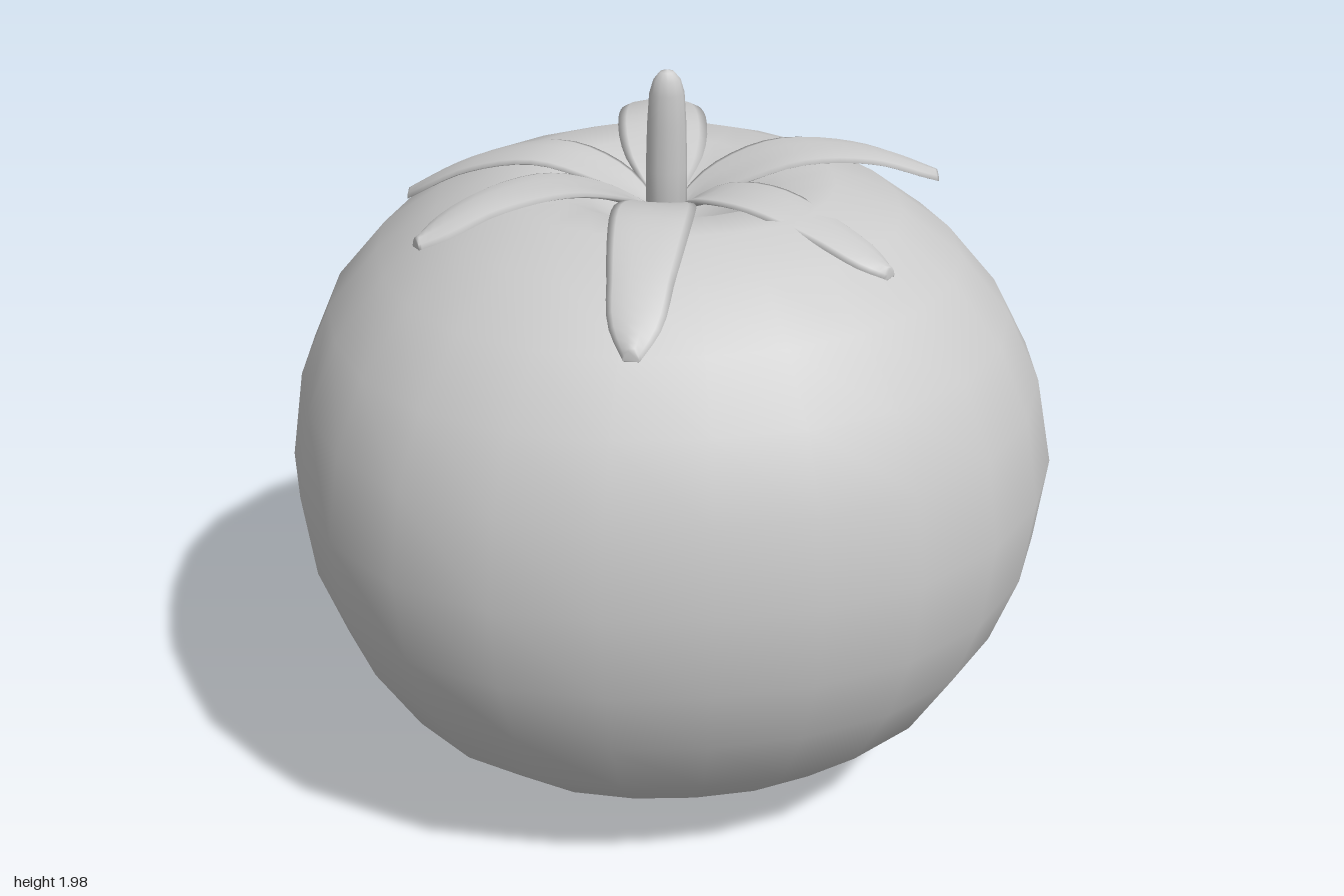
import * as THREE from 'three';
import { mergeVertices } from 'three/addons/utils/BufferGeometryUtils.js';

const grey = new THREE.MeshStandardMaterial({ color: 0xcccccc });
const CENTER = { x: -0.02, z: 0.04 };

function addMesh(group, name, geometry) {
  const mesh = new THREE.Mesh(geometry, grey);
  mesh.name = name;
  group.add(mesh);
  return mesh;
}

const toPoints = (pairs) => pairs.map(([x, y]) => new THREE.Vector2(x, y));

// Plump, slightly lopsided fruit with a dimple at the top
function fruitGeometry() {
  const profile = toPoints([
    [0, 0.005], [0.2, 0.015], [0.4, 0.08], [0.6, 0.18], [0.78, 0.335], [0.9, 0.53],
    [0.97, 0.72], [1, 0.95], [0.965, 1.18], [0.885, 1.365], [0.755, 1.52], [0.6, 1.63],
    [0.43, 1.695], [0.3, 1.695], [0.2, 1.645], [0.1, 1.58], [0, 1.54],
  ]);
  let g = new THREE.LatheGeometry(profile, 24);
  const p = g.attributes.position;
  for (let i = 0; i < p.count; i++) {
    const x = p.getX(i), y = p.getY(i), z = p.getZ(i);
    const r = Math.hypot(x, z) || 1, c = x / r, s = z / r;
    // Fuller at the front corners, leaner at the back left and sloping on the upper left
    const corner = (2 * c * s) ** 2 * (0.014 + 0.034 * s - 0.02 * c);
    const slope = Math.max(0, 0.9 * c - 0.43 * s) ** 4 * THREE.MathUtils.smoothstep(y, 0.9, 1.5) * 0.07;
    const k = 1 + corner - slope;
    // Move the dimple off centre
    const shift = y > 1 ? Math.max(0, 1 - r / 0.6) : 0;
    p.setX(i, x * k + CENTER.x * shift);
    p.setZ(i, z * k * 0.95 + CENTER.z * shift);
  }
  g.deleteAttribute('uv');
  g.deleteAttribute('normal');
  g = mergeVertices(g, 1e-4);
  g.computeVertexNormals();
  return g;
}

// Arched, blunt leaf: lens-shaped cross-sections along a curve from the centre to the tip
function leafGeometry({ tip: [tx, ty, tz], peak, shoulder, width }) {
  const dx = tx - CENTER.x, dz = tz - CENTER.z;
  const length = Math.hypot(dx, dz), c = dx / length, s = dz / length;
  const spine = new THREE.SplineCurve(toPoints([
    [0.03, 1.6], [0.2 * length, 1.675], [0.45 * length, peak], [0.74 * length, shoulder], [length, ty],
  ]));
  // Half widths at even steps from base to tip
  const halfWidth = new THREE.SplineCurve(
    [0.02, 0.055, 0.09, 0.108, 0.11, 0.102, 0.088, 0.072, 0.022].map((w, i) => new THREE.Vector2(i, w)),
  );
  const rings = 20, sides = 10, pos = [], index = [];
  for (let i = 0; i <= rings; i++) {
    const t = 1 - (1 - i / rings) ** 1.4;
    const mid = spine.getPoint(t), w = halfWidth.getPoint(t).y * width;
    const fold = THREE.MathUtils.lerp(0.025, -0.015, t); // cupped at the base, drooping at the tip
    for (let j = 0; j < sides; j++) {
      const a = (j / sides) * Math.PI * 2, u = Math.cos(a);
      pos.push(
        CENTER.x + c * mid.x + s * w * u,
        mid.y + 0.012 * Math.sin(a) + fold * u * u,
        CENTER.z + s * mid.x - c * w * u,
      );
      if (i < rings) {
        const k = i * sides, n = (j + 1) % sides;
        index.push(k + j, k + n, k + sides + j, k + n, k + sides + n, k + sides + j);
      }
    }
  }
  // Close the tip
  const last = rings * sides;
  for (let j = 1; j < sides - 1; j++) index.push(last, last + j, last + j + 1);
  const g = new THREE.BufferGeometry();
  g.setAttribute('position', new THREE.Float32BufferAttribute(pos, 3));
  g.setIndex(index);
  g.computeVertexNormals();
  return g;
}

export function createModel() {
  const model = new THREE.Group();
  model.name = 'tomato';
  addMesh(model, 'fruit', fruitGeometry());

  // Crown of six leaves
  const crown = new THREE.Group();
  crown.name = 'leafCrown';
  model.add(crown);
  const leaves = {
    backLeaf: { tip: [0.03, 1.635, -0.68], peak: 1.735, shoulder: 1.71, width: 1.05 },
    leftLeaf: { tip: [0.7, 1.635, -0.09], peak: 1.73, shoulder: 1.71, width: 0.95 },
    frontLeftLeaf: { tip: [0.475, 1.605, 0.475], peak: 1.7, shoulder: 1.665, width: 0.85 },
    frontLeaf: { tip: [-0.17, 1.535, 0.73], peak: 1.71, shoulder: 1.65, width: 0.92 },
    frontRightLeaf: { tip: [-0.65, 1.67, 0.33], peak: 1.735, shoulder: 1.73, width: 0.85 },
    backRightLeaf: { tip: [-0.665, 1.565, -0.285], peak: 1.72, shoulder: 1.67, width: 0.88 },
  };
  for (const [name, spec] of Object.entries(leaves)) addMesh(crown, name, leafGeometry(spec));

  // Rounded stem, leaning slightly forward
  const stem = addMesh(model, 'stem', new THREE.LatheGeometry(toPoints([
    [0, 0], [0.052, 0], [0.052, 0.2], [0.049, 0.32], [0.044, 0.4], [0.034, 0.435], [0.018, 0.455], [0, 0.46],
  ]), 12));
  stem.scale.z = 0.78;
  stem.rotation.x = 0.05;
  stem.position.set(CENTER.x, 1.53, CENTER.z);
  return model;
}
